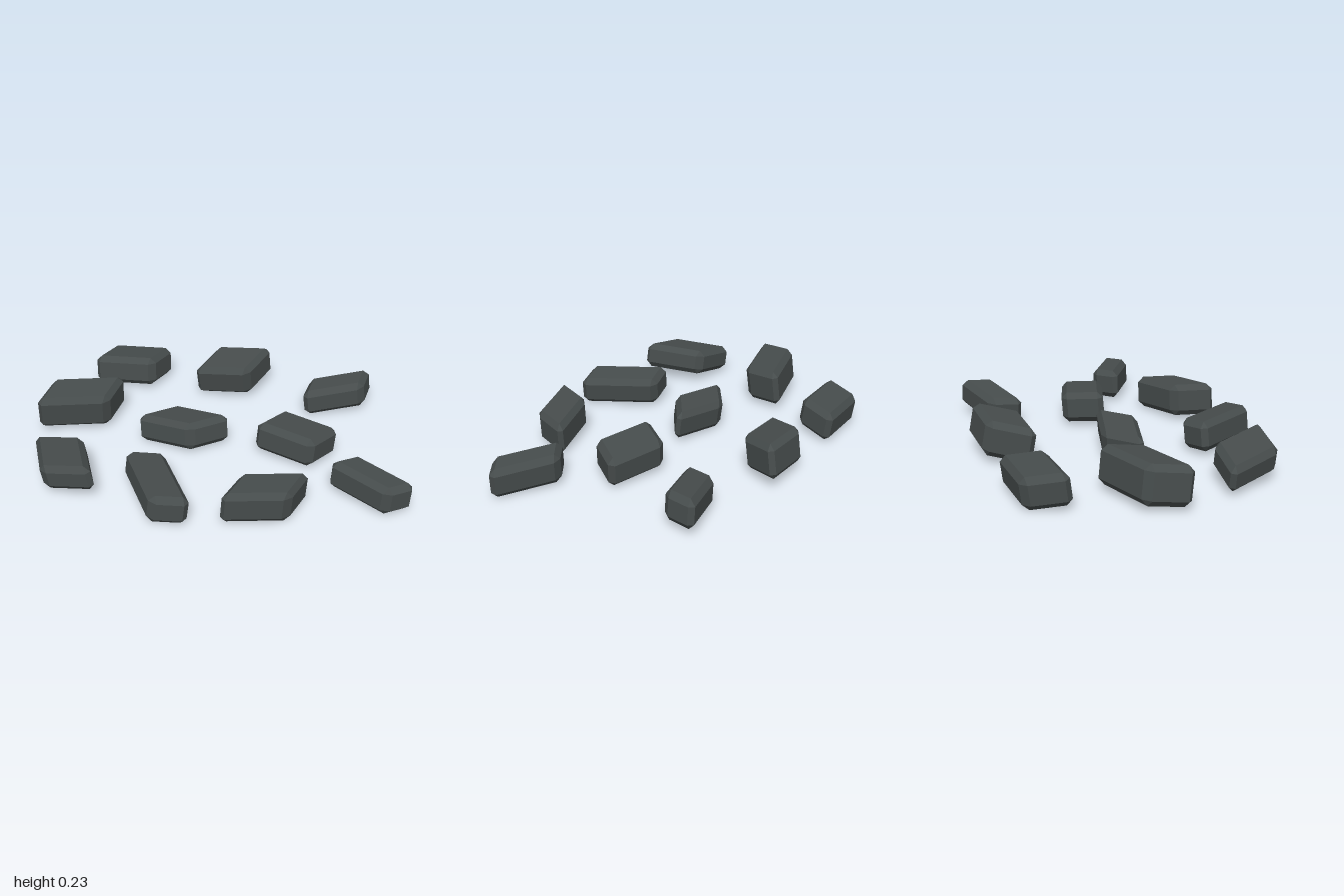
import * as THREE from 'three';
import { ConvexGeometry } from 'three/addons/geometries/ConvexGeometry.js';

const BEVEL = 0.03;

// Bevelled, slanted block: half-edges u and v in plan, half-thickness h,
// and a tilt given as the slope of the top along x and z.
function stoneGeometry({ u, v, h, tilt: [sx, sz] }) {
  const onSlope = ([x, z]) => new THREE.Vector3(x, x * sx + z * sz, z);
  const axes = [onSlope(u), new THREE.Vector3(-sx, 1, -sz).normalize().multiplyScalar(h), onSlope(v)];
  const inset = axes.map((a) => 1 - BEVEL / a.length());
  const points = [];
  for (let face = 0; face < 3; face++) {
    for (let corner = 0; corner < 8; corner++) {
      const p = new THREE.Vector3();
      axes.forEach((a, i) => {
        const sign = corner & (1 << i) ? 1 : -1;
        p.addScaledVector(a, sign * (i === face ? 1 : inset[i]));
      });
      points.push(p);
    }
  }
  return new ConvexGeometry(points);
}

const stones = [
  // back row
  { name: 'backRightStone', at: [-0.667, 0.105, -0.535], u: [0.167, -0.018], v: [-0.027, 0.108], h: 0.08, tilt: [0.03, 0.13] },
  { name: 'backMiddleStone', at: [-0.093, 0.132, -0.575], u: [0.15, -0.013], v: [-0.045, 0.115], h: 0.09, tilt: [0.04, -0.18] },
  { name: 'backLeftStone', at: [0.498, 0.108, -0.523], u: [0.155, -0.057], v: [-0.008, 0.09], h: 0.074, tilt: [0.12, -0.03] },
  // middle row
  { name: 'middleRightStone', at: [-0.81, 0.13, -0.068], u: [0.178, -0.063], v: [-0.012, 0.112], h: 0.096, tilt: [-0.06, -0.11] },
  { name: 'middleStone', at: [-0.225, 0.1, -0.007], u: [0.155, 0.03], v: [-0.092, 0.08], h: 0.076, tilt: [0.05, 0.1] },
  { name: 'middleLeftStone', at: [0.36, 0.108, -0.042], u: [0.155, 0.04], v: [-0.055, 0.1], h: 0.08, tilt: [-0.08, 0.06] },
  { name: 'farLeftStone', at: [0.78, 0.099, 0.24], u: [0.155, 0.08], v: [-0.065, 0.053], h: 0.078, tilt: [-0.06, 0.02] },
  // front row
  { name: 'frontRightStone', at: [-0.71, 0.122, 0.455], u: [0.133, 0.005], v: [0.075, 0.148], h: 0.068, tilt: [0.18, 0] },
  { name: 'frontMiddleStone', at: [-0.22, 0.103, 0.508], u: [0.09, -0.03], v: [0.117, 0.172], h: 0.076, tilt: [-0.12, 0.06] },
  { name: 'frontLeftStone', at: [0.305, 0.112, 0.472], u: [0.157, -0.058], v: [-0.028, 0.112], h: 0.085, tilt: [-0.07, 0.02] },
];

export function createModel() {
  const model = new THREE.Group();
  model.name = 'scatteredStones';
  const slate = new THREE.MeshStandardMaterial({ color: 0x464c4c });
  slate.name = 'darkSlate';
  for (const stone of stones) {
    const mesh = new THREE.Mesh(stoneGeometry(stone), slate);
    mesh.name = stone.name;
    mesh.position.set(...stone.at);
    model.add(mesh);
  }
  return model;
}
